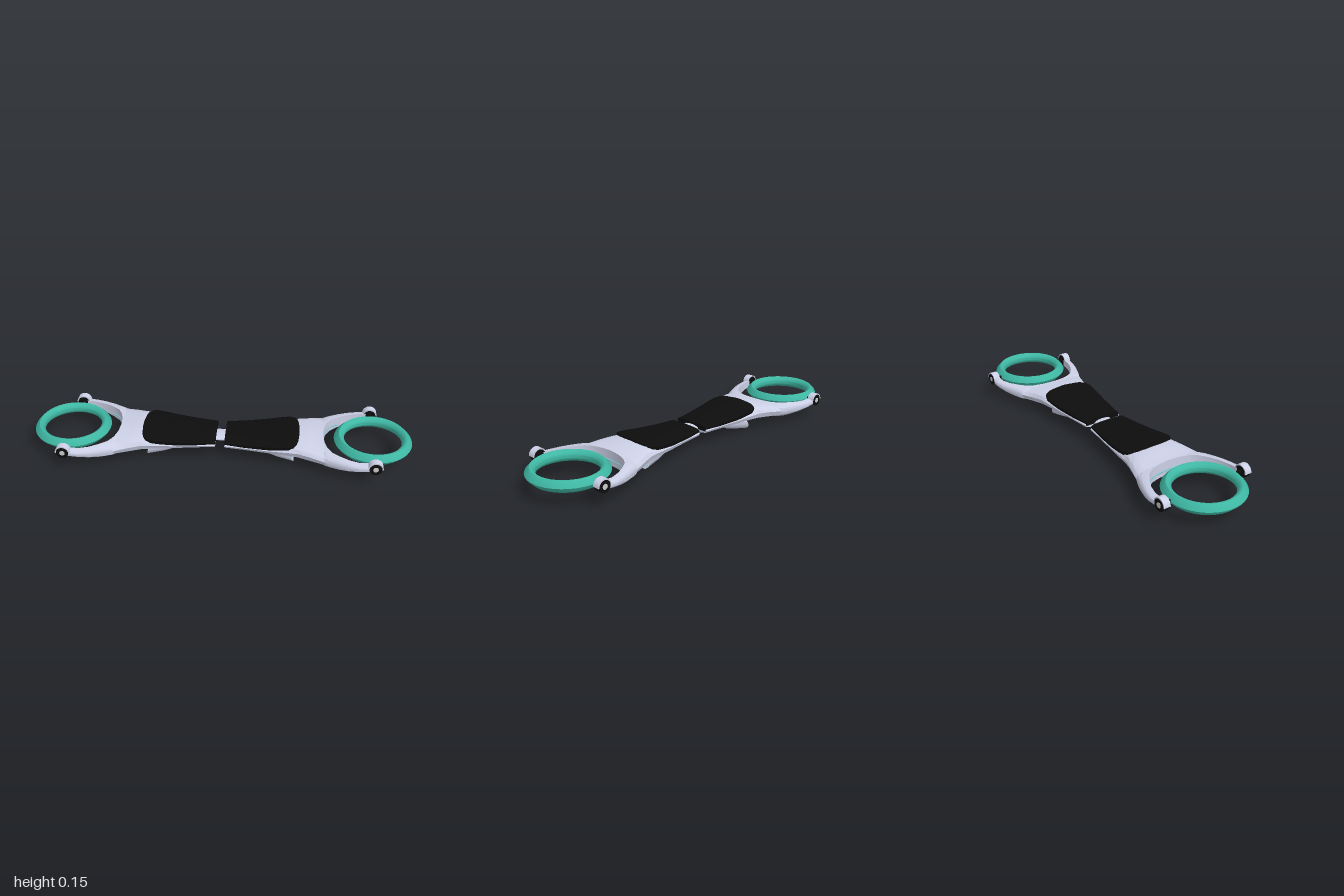
import * as THREE from 'three';
import { mergeGeometries, toCreasedNormals } from 'three/addons/utils/BufferGeometryUtils.js';

const mat = (color, side = THREE.FrontSide) => new THREE.MeshStandardMaterial({ color, side });
const shell = mat(0xccd0e6), black = mat(0x0d0d0d), teal = mat(0x3fb8a4);
const aqua = mat(0x7cccd2, THREE.DoubleSide), grey = mat(0xcccccc);

function add(parent, name, geometry, material, x = 0, y = 0, z = 0) {
  const mesh = new THREE.Mesh(geometry, material);
  mesh.name = name;
  mesh.position.set(x, y, z);
  parent.add(mesh);
  return mesh;
}

// Skin closed rings of [x, y, z] points, running from the top towards +z
function loft(rings, caps = true) {
  const n = rings[0].length, index = [];
  for (let i = 0; i < rings.length - 1; i++) {
    for (let j = 0; j < n; j++) {
      const k = (j + 1) % n, a = i * n, b = a + n;
      index.push(a + j, a + k, b + k, a + j, b + k, b + j);
    }
  }
  const last = (rings.length - 1) * n;
  for (let j = 1; caps && j < n - 1; j++) {
    index.push(0, j + 1, j, last, last + j, last + j + 1);
  }
  const g = new THREE.BufferGeometry();
  g.setAttribute('position', new THREE.Float32BufferAttribute(rings.flat(2), 3));
  g.setIndex(index);
  return g;
}
const crease = (g, angle = 0.7) => toCreasedNormals(g, angle);

// Deck and fork stations: x, inner z, outer z, top y, bottom y
const stations = [
  [0.025, 0, 0.11, 0.108, 0.07], [0.12, 0, 0.118, 0.11, 0.066],
  [0.25, 0, 0.135, 0.118, 0.06], [0.36, 0, 0.148, 0.132, 0.052],
  [0.41, 0, 0.155, 0.138, 0.047], [0.47, 0, 0.173, 0.134, 0.042],
  [0.538, 0, 0.196, 0.122, 0.042], [0.543, 0.06, 0.198, 0.121, 0.042],
  [0.556, 0.11, 0.203, 0.12, 0.043], [0.58, 0.15, 0.213, 0.119, 0.046],
  [0.62, 0.18, 0.229, 0.118, 0.052], [0.67, 0.207, 0.247, 0.116, 0.062],
  [0.72, 0.222, 0.259, 0.115, 0.072], [0.785, 0.225, 0.262, 0.12, 0.08],
];

function deckTop(x) {
  const i = Math.max(1, stations.findIndex((s) => s[0] >= x));
  const a = stations[i - 1], b = stations[i];
  return THREE.MathUtils.lerp(a[3], b[3], (x - a[0]) / (b[0] - a[0]));
}

function deckSide(sign) {
  return loft(stations.map(([x, zi, zo, yt, yb]) => {
    const w = zo - zi, h = yt - yb;
    const ring = [
      [x, yt, zi], [x, yt - 0.05 * h, zi + 0.7 * w], [x, yt - 0.2 * h, zo - 0.07 * w],
      [x, yt - 0.42 * h, zo], [x, yb + 0.28 * h, zo - 0.06 * w],
      [x, yb + 0.06 * h, zi + 0.6 * w], [x, yb, zi],
    ];
    return sign > 0 ? ring : ring.map(([a, b, c]) => [a, b, -c]).reverse();
  }));
}

// Foot pad following the curved deck
function padGeometry() {
  const outline = [
    [0.024, 0.105], [0.08, 0.112], [0.14, 0.12], [0.2, 0.128], [0.26, 0.136], [0.32, 0.143],
    [0.36, 0.144], [0.385, 0.135], [0.4, 0.115], [0.407, 0.09], [0.412, 0.04],
  ];
  return loft(outline.map(([x, w]) => {
    const y = deckTop(x), t = y + 0.011;
    const half = [[x, t - 0.001, 0.5 * w], [x, t - 0.004, 0.88 * w], [x, t - 0.012, w], [x, y - 0.02, w * 0.98]];
    return [[x, t, 0], ...half, ...half.map(([a, b, c]) => [a, b, -c]).reverse()];
  }));
}

// Vent scoop rings: rounded trapezoid, leaning so that the lower lip reaches further out
function ventRing(x, w, top, bottom, lean = 0) {
  const h = top - bottom;
  const half = [[1, 0.8], [1, 0.55], [0.93, 0.2], [0.78, 0]];
  const right = half.map(([u, v]) => [x + lean * (1 - v), bottom + v * h, u * w]);
  const cap = [x, top, 0.85 * w];
  return [cap, ...right, ...[cap, ...right].map(([a, b, c]) => [a, b, -c]).reverse()];
}

function buildHalf(name) {
  const half = new THREE.Group();
  half.name = name;
  add(half, 'deckAndFork', crease(mergeGeometries([deckSide(1), deckSide(-1)])), shell);
  add(half, 'footPad', crease(padGeometry(), 0.6), black);

  // Scoop under the deck, open towards the wheel
  const scoop = loft([
    ventRing(0.19, 0.05, 0.075, 0.06), ventRing(0.24, 0.075, 0.075, 0.033),
    ventRing(0.3, 0.092, 0.07, 0.018), ventRing(0.365, 0.103, 0.06, 0, 0.025),
    ventRing(0.365, 0.094, 0.055, 0.006, 0.025), ventRing(0.3, 0.078, 0.055, 0.026),
  ], false);
  add(half, 'ventScoop', crease(scoop), mat(0xccd0e6, THREE.DoubleSide));
  const liner = loft([
    ventRing(0.28, 0.06, 0.058, 0.028), ventRing(0.363, 0.09, 0.054, 0.008, 0.02),
  ], false);
  add(half, 'ventLiner', crease(liner), aqua);
  add(half, 'ventBack', new THREE.BoxGeometry(0.01, 0.03, 0.15), grey, 0.285, 0.043, 0);

  // Light strip along the inside of the fork
  const edge = stations.slice(7, 11).map(([x, zi]) => new THREE.Vector3(x, 0.07, zi - 0.001));
  const path = new THREE.CatmullRomCurve3(
    [...edge.map((p) => new THREE.Vector3(p.x, p.y, -p.z)).reverse(), ...edge]);
  add(half, 'lightStrip', new THREE.TubeGeometry(path, 32, 0.004, 6), aqua);

  // Ring wheel
  const profile = [
    [0.15, 0.004], [0.153, 0.014], [0.163, 0.025], [0.172, 0.03], [0.178, 0.03], [0.2, 0.007], [0.203, 0],
    [0.2, -0.007], [0.178, -0.03], [0.172, -0.03], [0.163, -0.025], [0.153, -0.014], [0.15, -0.004], [0.15, 0.004],
  ].map(([r, y]) => new THREE.Vector2(r, y)).reverse();
  add(half, 'ringWheel', crease(new THREE.LatheGeometry(profile, 64), 0.6), teal, 0.797, 0.105, 0);

  // Hub, guard and axle at each fork tip
  const arc = new THREE.Shape();
  arc.absarc(0, 0, 0.038, 0, Math.PI, false);
  arc.absarc(0, 0, 0.029, Math.PI, 0, true);
  const guard = new THREE.ExtrudeGeometry(arc, { depth: 0.037, bevelEnabled: false, curveSegments: 16 });
  for (const s of [1, -1]) {
    const tip = new THREE.Group();
    tip.name = s > 0 ? 'frontForkTip' : 'rearForkTip';
    tip.position.set(0.795, 0.107, 0);
    add(tip, 'hub', new THREE.CylinderGeometry(0.032, 0.032, 0.038, 24), black, 0, 0, 0.2435).rotation.x = Math.PI / 2;
    add(tip, 'hubCap', new THREE.CylinderGeometry(0.014, 0.014, 0.004, 20), grey, 0, 0, 0.262).rotation.x = Math.PI / 2;
    add(tip, 'axle', new THREE.CylinderGeometry(0.013, 0.007, 0.035, 16), black, 0, 0, 0.212).rotation.x = Math.PI / 2;
    add(tip, 'hubGuard', guard, shell, 0, 0, 0.225);
    if (s < 0) tip.rotation.y = Math.PI;
    half.add(tip);
  }
  return half;
}

export function createModel() {
  const model = new THREE.Group();
  model.name = 'hoverBoard';
  const left = buildHalf('leftHalf'), right = buildHalf('rightHalf');
  right.rotation.y = Math.PI;
  model.add(left, right);

  // Flattened pivot joining the halves
  const pivot = new THREE.CylinderGeometry(0.05, 0.05, 0.08, 24).rotateZ(Math.PI / 2).scale(1, 0.3, 1);
  add(model, 'centrePivot', pivot, shell, 0, 0.09, 0);
  return model;
}
